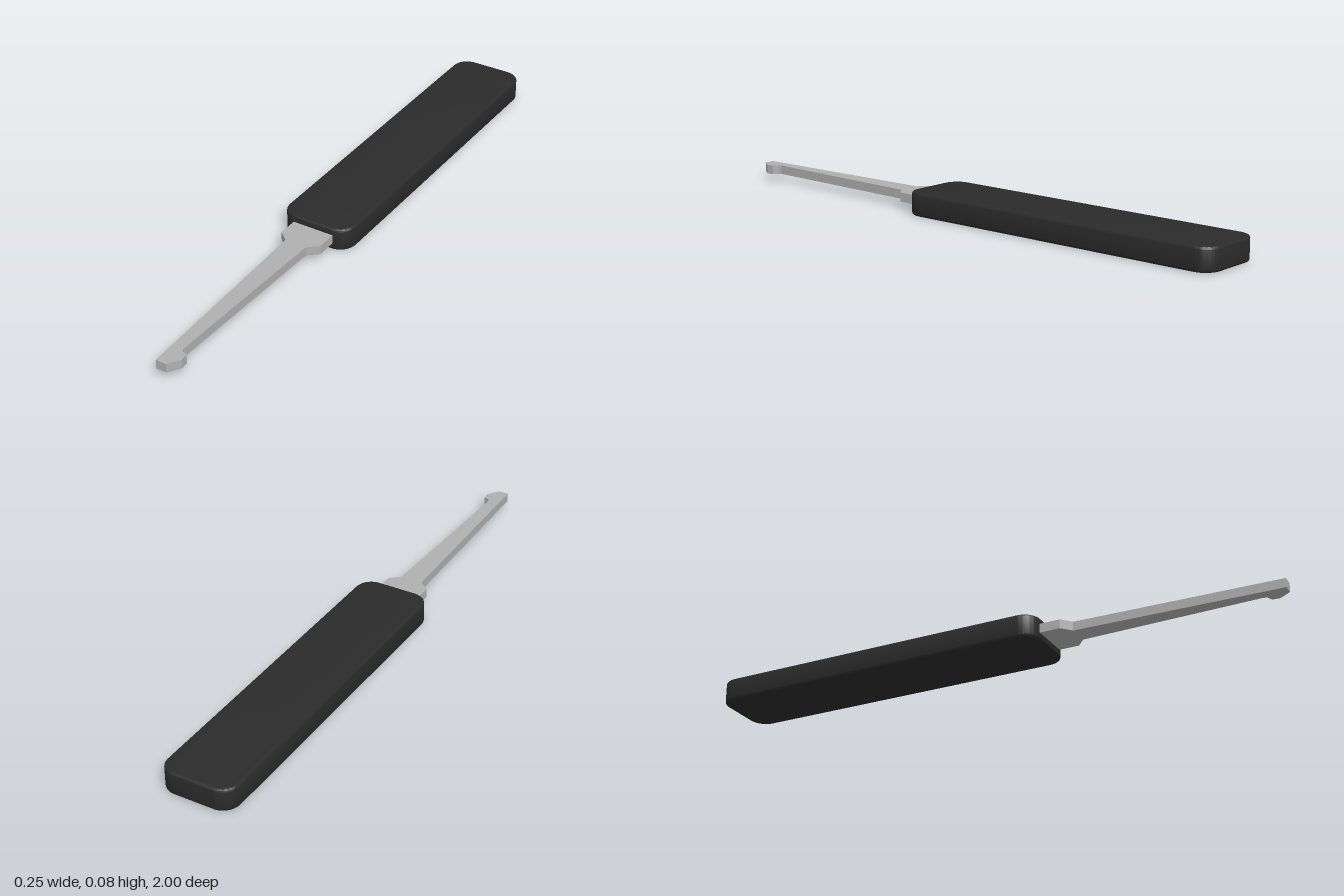
import * as THREE from 'three';
import { toCreasedNormals } from 'three/addons/utils/BufferGeometryUtils.js';

// Extrude an outline drawn in (x, z) so that it lies flat between two heights
function flatExtrude(shape, bottom, top, bevel = 0) {
  const geometry = new THREE.ExtrudeGeometry(shape, {
    depth: top - bottom - 2 * bevel,
    bevelEnabled: bevel > 0,
    bevelSize: bevel,
    bevelOffset: -bevel,
    bevelThickness: bevel,
    bevelSegments: 3,
    curveSegments: 10,
  });
  geometry.rotateX(Math.PI / 2);
  geometry.translate(0, top - bevel, 0);
  return geometry;
}

function roundedRect(x0, z0, x1, z1, r) {
  const s = new THREE.Shape();
  s.absarc(x1 - r, z0 + r, r, -Math.PI / 2, 0);
  s.absarc(x1 - r, z1 - r, r, 0, Math.PI / 2);
  s.absarc(x0 + r, z1 - r, r, Math.PI / 2, Math.PI);
  s.absarc(x0 + r, z0 + r, r, Math.PI, Math.PI * 1.5);
  s.closePath();
  return s;
}

export function createModel() {
  const model = new THREE.Group();
  model.name = 'hookTool';

  const grip = new THREE.MeshStandardMaterial({ color: 0x2b2b2b });
  grip.name = 'black grip';
  const steel = new THREE.MeshStandardMaterial({ color: 0xb0b0b0 });
  steel.name = 'grey steel';

  // Handle: flat bar with rounded corners and softened edges
  const handle = new THREE.Mesh(
    toCreasedNormals(flatExtrude(roundedRect(-0.125, -1, 0.125, 0.2, 0.058), 0, 0.078, 0.008), 0.7),
    grip
  );
  handle.name = 'handle';
  model.add(handle);

  // Blade: wide shoulder, tapering shank and a small hook on the left of the tip
  const outline = [
    [-0.073, 0.17], [0.073, 0.17], [0.073, 0.27], [0.038, 0.3],
    [0.019, 0.915], [0.024, 0.926], [0.043, 0.934], [0.045, 0.96],
    [0.018, 1], [-0.018, 1], [-0.038, 0.3], [-0.073, 0.27],
  ].map(([x, z]) => new THREE.Vector2(x, z));
  const blade = new THREE.Mesh(flatExtrude(new THREE.Shape(outline), 0.024, 0.055), steel);
  blade.name = 'blade';
  model.add(blade);

  return model;
}
